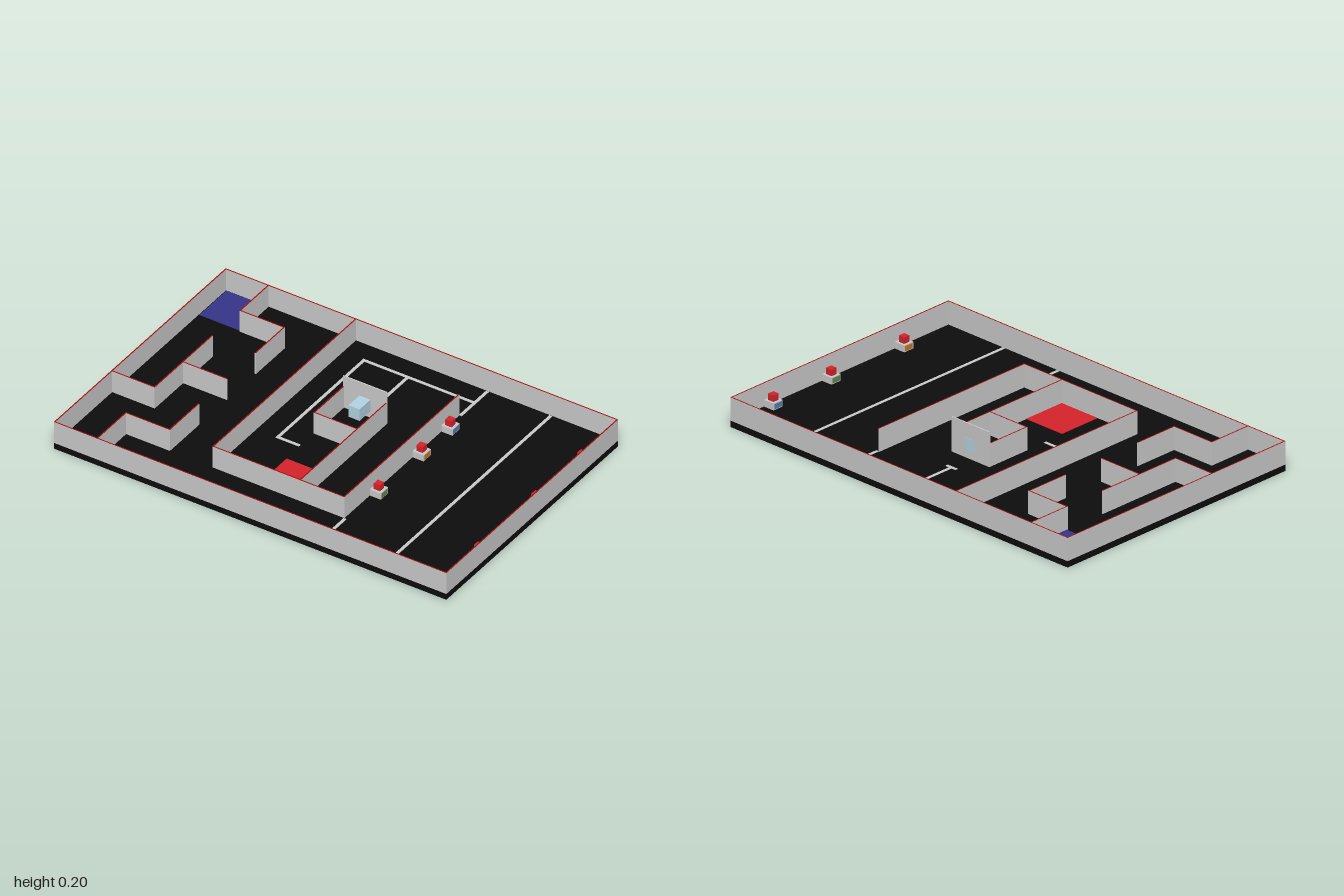
import * as THREE from 'three';

const FLOOR = 0.03, WALL_TOP = 0.14, THICK = 0.006;

const paint = (color) => new THREE.MeshStandardMaterial({ color });
const grey = paint(0xcccccc);
const black = paint(0x0d0d0d);
const red = paint(0xd6222b);
const darkRed = paint(0xa80c0c);
const blue = paint(0x35358a);
const paleBlue = paint(0xb4d4e4);
const tapeGrey = paint(0xc4c4c4);

// Box given by its lower and upper corners
function block(parent, name, [x0, y0, z0], [x1, y1, z1], material) {
  const mesh = new THREE.Mesh(new THREE.BoxGeometry(x1 - x0, y1 - y0, z1 - z0), material);
  mesh.position.set((x0 + x1) / 2, (y0 + y1) / 2, (z0 + z1) / 2);
  mesh.name = name;
  parent.add(mesh);
  return mesh;
}

// Strip along x or z between two plan points, widened on all sides by half its width
function strip(parent, name, [xa, za, xb, zb], width, y0, y1, material) {
  const h = width / 2;
  return block(parent, name,
    [Math.min(xa, xb) - h, y0, Math.min(za, zb) - h],
    [Math.max(xa, xb) + h, y1, Math.max(za, zb) + h], material);
}

// Small target: grey base, coloured plate on its open side, red cube on top
function target(x, z, side, color) {
  const g = new THREE.Group();
  g.name = 'target';
  block(g, 'targetBase', [-0.028, 0, -0.028], [0.028, 0.032, 0.028], grey);
  block(g, 'targetPlate', [0.027, 0.004, -0.022], [0.0295, 0.028, 0.022], paint(color));
  block(g, 'targetCube', [-0.016, 0.032, -0.016], [0.016, 0.062, 0.016], red);
  g.position.set(x, FLOOR, z);
  if (side < 0) g.rotation.y = Math.PI;
  return g;
}

export function createModel() {
  const model = new THREE.Group();
  model.name = 'arena';

  block(model, 'baseBoard', [-1, 0, -0.667], [1, FLOOR, 0.667], black);

  // Walls as plan segments: x, z to x, z
  const X = 0.997, Z = 0.664;
  const walls = new THREE.Group();
  walls.name = 'walls';
  const capped = [grey, grey, darkRed, grey, grey, grey];
  const segments = {
    outerWall: [[-X, -Z, X, -Z], [-X, Z, X, Z], [-X, -Z, -X, Z], [X, -Z, X, Z]],
    mazeWall: [
      [-0.78, -Z, -0.78, -0.445], [-0.78, -0.445, -0.557, -0.445], [-0.557, -0.445, -0.557, -0.225],
      [-0.78, -0.225, -0.78, 0.22], [-0.78, 0, -0.557, 0], [-X, 0.22, -0.78, 0.22],
      [-0.557, 0.22, -0.557, 0.442], [-0.78, 0.442, -0.557, 0.442], [-0.78, 0.442, -0.78, Z],
    ],
    middleWall: [
      [-0.335, -Z, -0.335, 0.442], [-0.335, 0.442, 0.332, 0.442], [0.332, -0.445, 0.332, 0.442],
      [0.108, -0.228, 0.108, 0.442], [-0.11, -0.228, -0.11, 0], [-0.11, 0, 0.108, 0],
    ],
  };
  for (const [name, list] of Object.entries(segments))
    for (const s of list) strip(walls, name, s, THICK, FLOOR, WALL_TOP, capped);
  strip(walls, 'tallBackPanel', [-0.11, -0.228, 0.108, -0.228], THICK, FLOOR, 0.195, grey);
  model.add(walls);

  // Box mounted through the tall panel
  block(model, 'panelBox', [-0.028, 0.065, -0.232], [0.028, 0.125, -0.14], paleBlue);

  // Coloured floor zones
  block(model, 'blueZone', [-0.99, FLOOR, -0.658], [-0.783, FLOOR + 0.002, -0.448], blue);
  block(model, 'redZone', [-0.107, FLOOR, 0.22], [0.105, FLOOR + 0.002, 0.437], red);

  // Tape lines on the floor
  const tape = [
    [0.34, -0.65, 0.34, -0.455], [0.34, 0.455, 0.34, 0.65], [0.663, -0.65, 0.663, 0.65],
    [-0.224, -0.558, 0.334, -0.558], [-0.224, -0.558, -0.224, 0.11], [-0.224, 0.11, -0.12, 0.11],
    [0, -0.55, 0, -0.345], [-0.022, -0.345, 0.022, -0.345],
  ];
  for (const s of tape) strip(model, 'tapeLine', s, 0.015, FLOOR, FLOOR + 0.002, tapeGrey);

  // Two rows of targets, facing each other's side of the field
  const green = 0x5f8a50, orange = 0xc87828, steel = 0x5580b0;
  [[-0.335, steel], [-0.112, orange], [0.22, green]]
    .forEach(([z, c]) => model.add(target(0.363, z, 1, c)));
  [[-0.44, steel], [-0.085, green], [0.36, orange]]
    .forEach(([z, c]) => model.add(target(0.965, z, -1, c)));

  return model;
}
